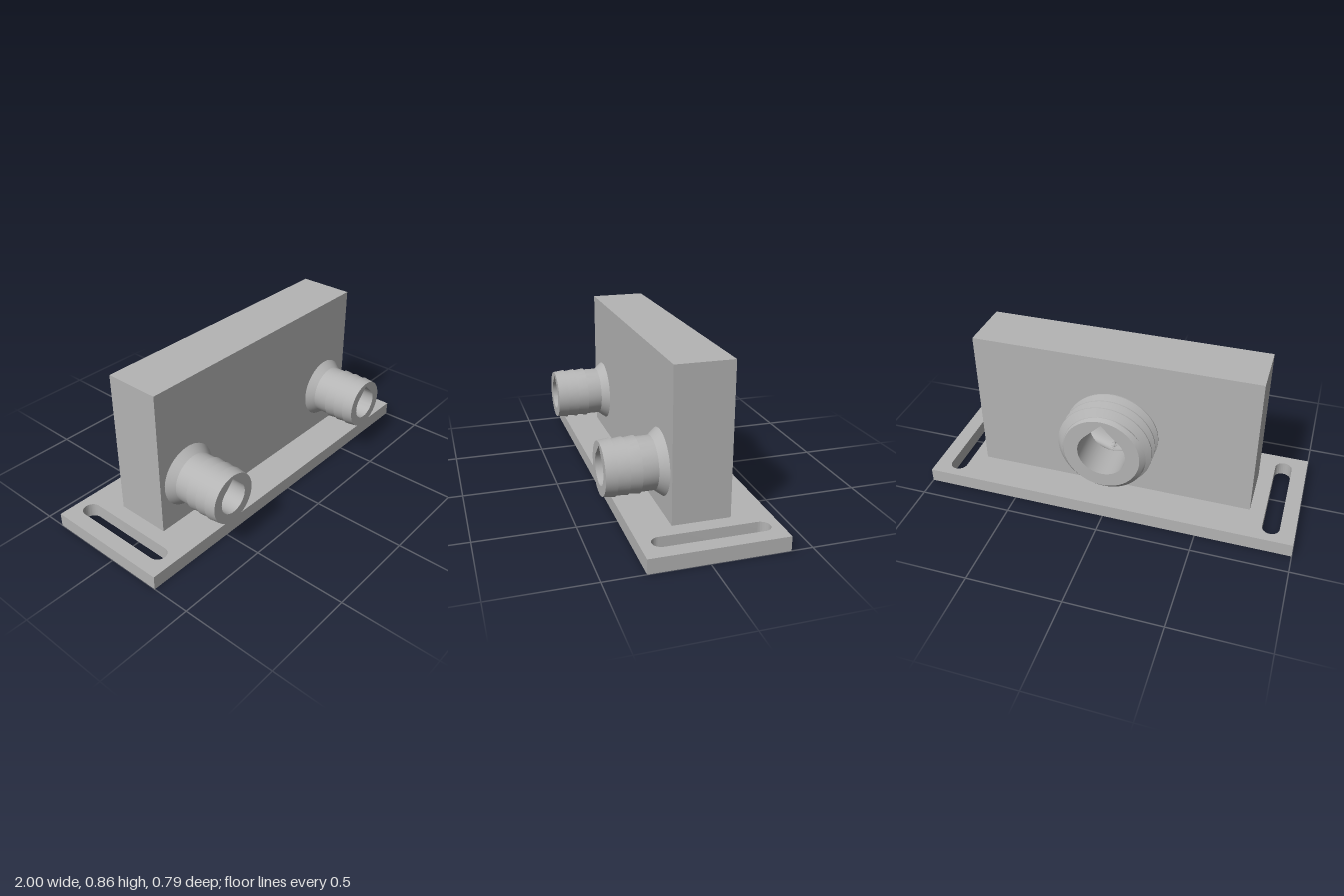
import * as THREE from 'three';
import { toCreasedNormals } from 'three/addons/utils/BufferGeometryUtils.js';

const BARB_X = 0.557, BARB_Y = 0.32, BARB_BORE = 0.082, BARB_TIP = 0.394;
const PORT_Y = 0.42, PORT_BORE = 0.126, PORT_TIP = -0.392;
const FRONT = 0.1, BACK = -0.195, BASE_TOP = 0.075, TOP = 0.855;

// Round hole with a 45 degree pointed roof, counterclockwise from the point
function teardrop(r, cx = 0, cy = 0) {
  const pts = [new THREE.Vector2(cx, cy + r * Math.SQRT2)];
  for (let i = 0; i <= 36; i++) {
    const a = Math.PI * (0.75 + 1.5 * i / 36);
    pts.push(new THREE.Vector2(cx + r * Math.cos(a), cy + r * Math.sin(a)));
  }
  return pts;
}

// Surface from a rule; faces lying in the x = 0 plane are left open
function gridSurface(nu, nv, point, crease) {
  const pos = [];
  const tri = (...p) => {
    if (p.every(q => Math.abs(q.x) < 1e-9)) return;
    p.forEach(q => pos.push(q.x, q.y, q.z));
  };
  for (let v = 0; v < nv; v++) for (let u = 0; u < nu; u++) {
    const a = point(u, v), b = point(u + 1, v), c = point(u, v + 1), d = point(u + 1, v + 1);
    tri(a, b, c);
    tri(b, d, c);
  }
  const g = new THREE.BufferGeometry();
  g.setAttribute('position', new THREE.Float32BufferAttribute(pos, 3));
  return toCreasedNormals(g, crease);
}

// Inward-facing passage through sections [x, y, z, r]; side keeps one half of the junction
function passage(sections, side = 0) {
  const rings = sections.map(([x, y, z, r]) => teardrop(r, x, y).map(p => {
    const px = side > 0 ? Math.max(p.x, 0) : side < 0 ? Math.min(p.x, 0) : p.x;
    return new THREE.Vector3(px, p.y, z);
  }));
  const n = rings[0].length;
  return gridSurface(n, rings.length - 1, (u, v) => rings[v][u % n], 0.5);
}

function ringPlate(outer, bore) {
  const s = new THREE.Shape().absarc(0, 0, outer, 0, Math.PI * 2, false);
  s.holes.push(new THREE.Path(teardrop(bore).reverse()));
  return new THREE.ShapeGeometry(s, 48);
}

function wallPlate(holes) {
  const s = new THREE.Shape([[-0.75, BASE_TOP], [0.75, BASE_TOP], [0.75, TOP], [-0.75, TOP]]
    .map(p => new THREE.Vector2(...p)));
  holes.forEach(h => s.holes.push(new THREE.Path(h.reverse())));
  return new THREE.ShapeGeometry(s);
}

// Right-handed V thread with a chamfered end
function threadGeometry() {
  const pitch = 0.0615, crest = 0.245, root = 0.207, segs = 96;
  const radius = f => {
    const d = Math.abs(f - Math.round(f)) * pitch;
    return crest - (crest - root) * THREE.MathUtils.clamp((d - 0.003) / 0.023, 0, 1);
  };
  const key = [-0.003, 0.003, 0.026, pitch - 0.026];
  const offsets = [];
  for (let k = -2; k < 5; k++) {
    key.forEach((o, i) => {
      const next = i < 3 ? key[i + 1] : key[0] + pitch;
      for (let j = 0; j < 4; j++) offsets.push(k * pitch + o + (next - o) * j / 4);
    });
  }
  return gridSurface(segs, offsets.length - 1, (u, v) => {
    const t = u / segs, start = -0.2115 - pitch * t;
    const z = THREE.MathUtils.clamp(start - offsets[v], PORT_TIP, BACK);
    const r = Math.min(radius((start - z) / pitch), 0.2 + (z - PORT_TIP));
    const a = t * Math.PI * 2;
    return new THREE.Vector3(r * Math.sin(a), r * Math.cos(a), z);
  }, 0.4);
}

export function createModel() {
  const model = new THREE.Group();
  model.name = 'hoseManifold';
  const grey = new THREE.MeshStandardMaterial({ color: 0xb4b4b4 });
  grey.name = 'grey';
  const add = (name, geometry, parent = model) => {
    const m = new THREE.Mesh(geometry, grey);
    m.name = name;
    parent.add(m);
    return m;
  };

  // Mounting plate with two long slots
  const plate = new THREE.Shape([[-1, -0.295], [1, -0.295], [1, 0.392], [-1, 0.392]]
    .map(p => new THREE.Vector2(...p)));
  for (const s of [-1, 1]) {
    const slot = new THREE.Path();
    slot.absarc(s * 0.875, 0.297, 0.045, 0, Math.PI, false);
    slot.absarc(s * 0.875, -0.192, 0.045, Math.PI, Math.PI * 2, false);
    slot.closePath();
    plate.holes.push(slot);
  }
  const base = new THREE.ExtrudeGeometry(plate, { depth: BASE_TOP, bevelEnabled: false, curveSegments: 20 });
  add('mountingPlate', toCreasedNormals(base.rotateX(-Math.PI / 2), 0.5));

  // Block: four sides, then pierced front and back walls
  const sides = new THREE.BoxGeometry(1.5, TOP - BASE_TOP, FRONT - BACK);
  sides.setIndex(Array.from(sides.index.array.slice(0, 24)));
  sides.clearGroups();
  add('blockSides', sides).position.set(0, (TOP + BASE_TOP) / 2, (FRONT + BACK) / 2);
  add('blockFront', wallPlate([-1, 1].map(s => teardrop(BARB_BORE, s * BARB_X, BARB_Y)))).position.z = FRONT;
  const back = add('blockBack', wallPlate([teardrop(PORT_BORE, 0, PORT_Y)]));
  back.position.z = BACK;
  back.rotation.y = Math.PI;

  // Hose barbs, each with its passage to the rear port
  const barbProfile = [[0.165, FRONT], [0.132, 0.142], [0.132, 0.22], [0.139, 0.22], [0.132, 0.278],
    [0.139, 0.278], [0.132, 0.337], [0.139, 0.337], [0.132, BARB_TIP]].map(p => new THREE.Vector2(...p));
  for (const s of [-1, 1]) {
    const barb = new THREE.Group();
    barb.name = s > 0 ? 'leftHoseBarb' : 'rightHoseBarb';
    barb.position.set(s * BARB_X, BARB_Y, 0);
    model.add(barb);
    const shell = new THREE.LatheGeometry(barbProfile, 64).rotateX(Math.PI / 2);
    add('barbShell', toCreasedNormals(shell, 0.3), barb);
    add('barbEnd', ringPlate(0.132, BARB_BORE), barb).position.z = BARB_TIP;

    const sections = [[s * BARB_X, BARB_Y, BARB_TIP, BARB_BORE]];
    for (let i = 0; i <= 24; i++) {
      const t = i / 24, mix = (a, b) => a + (b - a) * t;
      sections.push([s * mix(BARB_X, 0), mix(BARB_Y, PORT_Y), mix(FRONT, BACK), mix(BARB_BORE, PORT_BORE)]);
    }
    add(s > 0 ? 'leftPassage' : 'rightPassage', passage(sections, s));
  }

  // Threaded rear port
  add('portThread', threadGeometry()).position.y = PORT_Y;
  const end = add('portEnd', ringPlate(0.2, PORT_BORE));
  end.position.set(0, PORT_Y, PORT_TIP);
  end.rotation.y = Math.PI;
  add('portBore', passage([[0, PORT_Y, BACK, PORT_BORE], [0, PORT_Y, PORT_TIP, PORT_BORE]]));

  return model;
}
